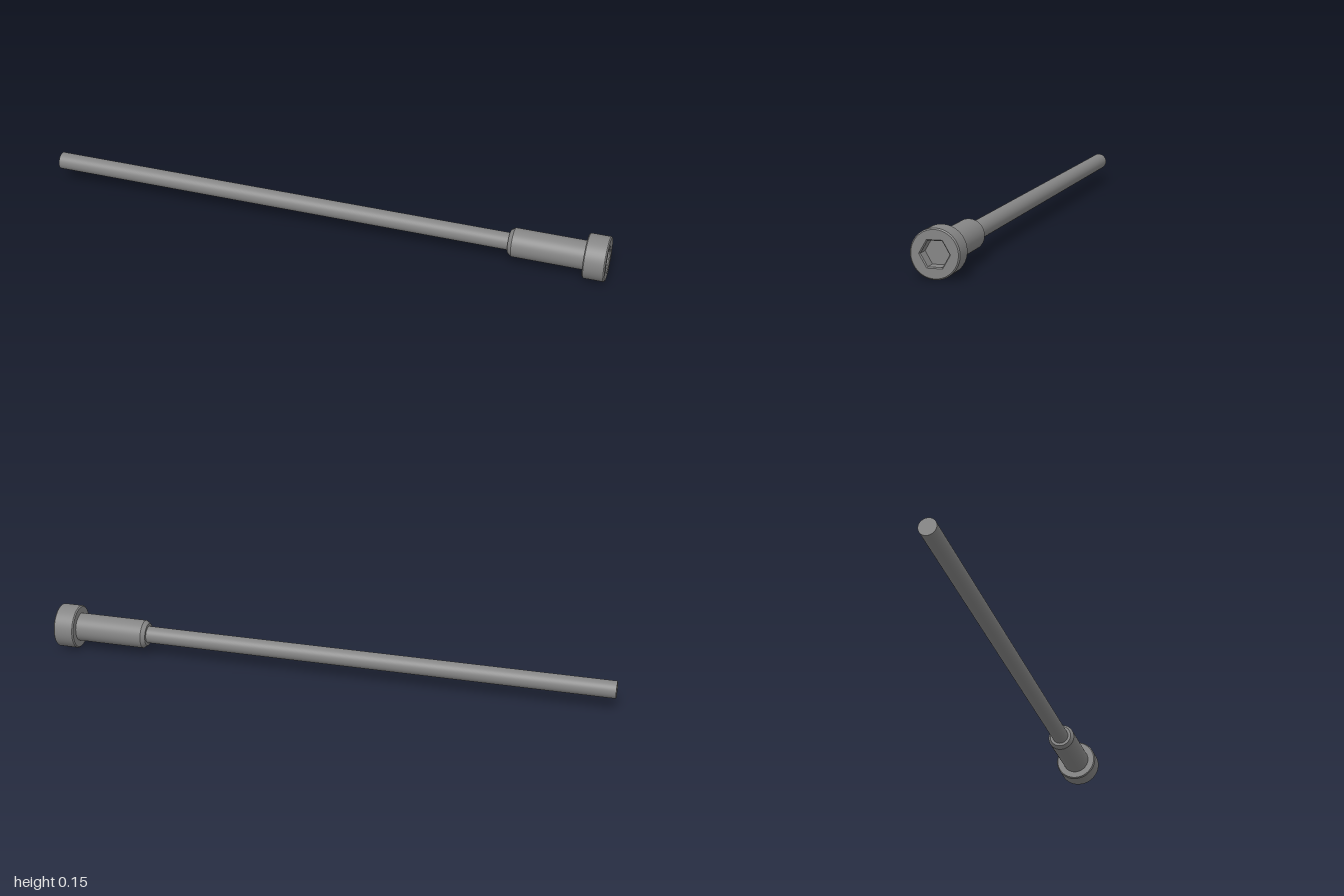
import * as THREE from 'three';
import { mergeGeometries } from 'three/addons/utils/BufferGeometryUtils.js';

const SIDES = 64;
const HEAD_R = 0.077, SOCKET_R = 0.049, EDGE = 0.004;

export function createModel() {
  const group = new THREE.Group();
  const material = new THREE.MeshStandardMaterial({ color: 0x858585 });

  const add = (name, geometry) => {
    const mesh = new THREE.Mesh(geometry, material);
    mesh.name = name;
    mesh.position.y = HEAD_R;
    group.add(mesh);
  };

  // Surface of revolution along x from [radius, x] pairs, with a sharp edge at each pair
  const turned = (profile, sides = SIDES) => {
    const points = profile.map(([r, x]) => new THREE.Vector2(r, x));
    const bands = points.slice(1).map((p, i) => new THREE.LatheGeometry([points[i], p], sides));
    return mergeGeometries(bands).rotateZ(-Math.PI / 2);
  };

  // Long thin rod with a flat end
  add('rod', turned([[0, -1], [0.03, -1], [0.03, 0.67]]));

  // Thicker shank with a chamfered shoulder
  add('shank', turned([[0.03, 0.665], [0.04, 0.665], [0.05, 0.679], [0.05, 0.925]]));

  // Cap head with bevelled rims
  add('head', turned([
    [0.05, 0.925], [HEAD_R - EDGE, 0.925], [HEAD_R, 0.925 + EDGE],
    [HEAD_R, 1 - EDGE], [HEAD_R - EDGE, 1],
  ]));

  // Head face around the hexagonal opening
  const face = new THREE.Shape().absarc(0, 0, HEAD_R - EDGE, 0, Math.PI * 2);
  const corners = Array.from({ length: 6 }, (_, i) => {
    const a = (i * Math.PI) / 3;
    return new THREE.Vector2(SOCKET_R * Math.cos(a), SOCKET_R * Math.sin(a));
  });
  face.holes.push(new THREE.Path(corners));
  add('headFace', new THREE.ShapeGeometry(face, SIDES).rotateY(Math.PI / 2).translate(1, 0, 0));

  // Hex socket: lead-in bevel, flat walls and floor
  const socket = turned(
    [[SOCKET_R, 1], [0.045, 0.996], [0.045, 0.955], [0, 0.955]], 6
  ).toNonIndexed();
  socket.computeVertexNormals();
  add('hexSocket', socket);

  return group;
}
